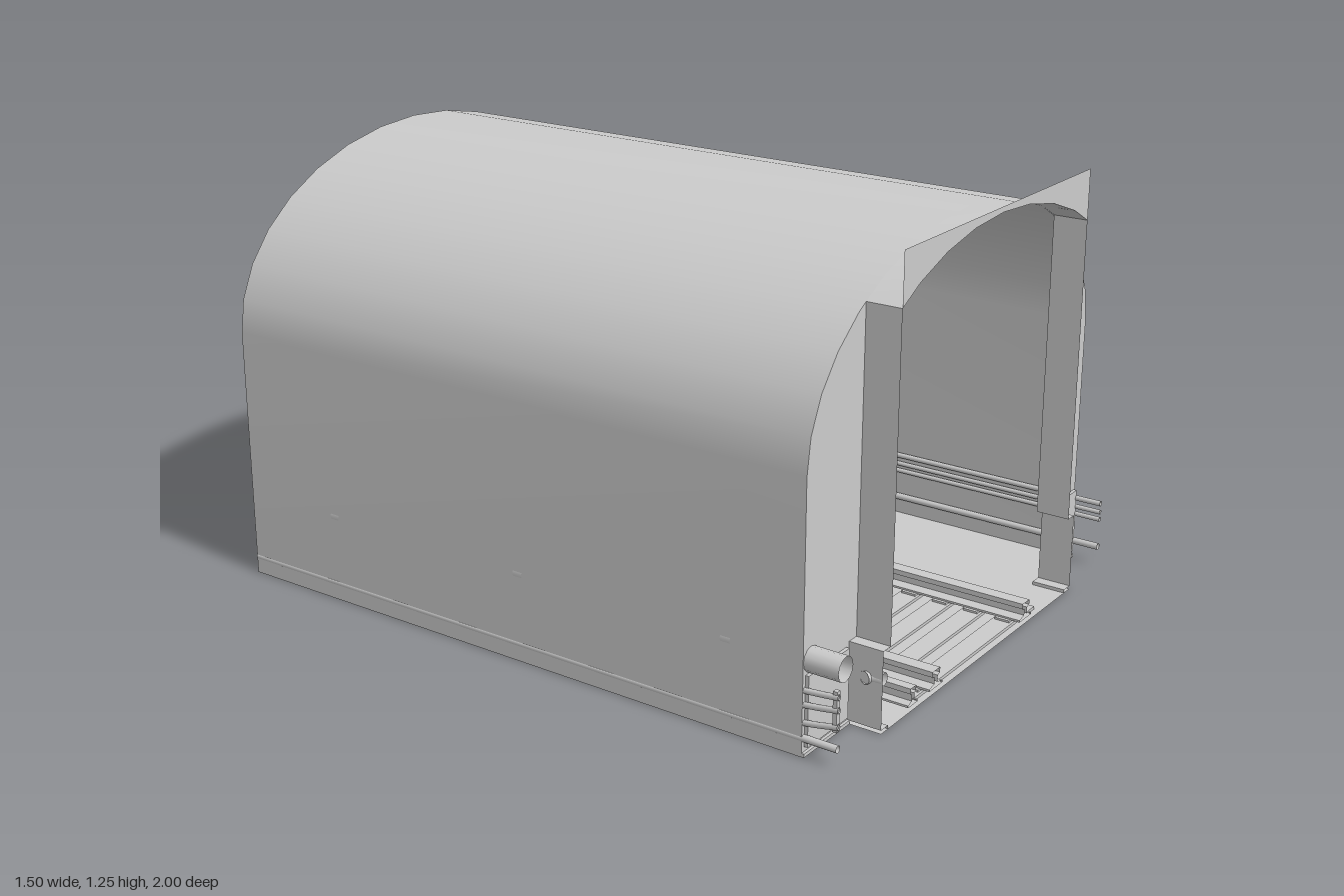
import * as THREE from 'three';

const mat = new THREE.MeshStandardMaterial({ color: 0xcccccc, side: THREE.DoubleSide });

// Surface running along z between z0 and z1 over an open 2D profile
function strip(profile, z0, z1, smooth = false) {
  const pos = [], idx = [];
  profile.forEach(([x, y], i) => {
    pos.push(x, y, z0, x, y, z1);
    if (i) idx.push(2 * i - 2, 2 * i, 2 * i - 1, 2 * i - 1, 2 * i, 2 * i + 1);
  });
  let g = new THREE.BufferGeometry();
  g.setAttribute('position', new THREE.Float32BufferAttribute(pos, 3));
  g.setIndex(idx);
  if (!smooth) g = g.toNonIndexed();
  g.computeVertexNormals();
  return g;
}

// Arch of 16 segments springing from y = 0.74
const arch = [];
for (let i = 0; i <= 16; i++) {
  const a = (i * Math.PI) / 16;
  arch.push([0.75 * Math.cos(a), 0.74 + 0.5 * Math.sin(a)]);
}
const crown = [[0.5, 1.111], ...arch.filter(([x]) => Math.abs(x) < 0.5), [-0.5, 1.111]];

function flat(points) {
  return new THREE.ShapeGeometry(new THREE.Shape(points.map(p => new THREE.Vector2(...p))));
}

export function createModel() {
  const root = new THREE.Group();
  const add = (name, geometry, x = 0, y = 0, z = 0) => {
    const m = new THREE.Mesh(geometry, mat);
    m.name = name;
    m.position.set(x, y, z);
    root.add(m);
    return m;
  };
  const box = (name, w, h, d, x, y, z) => add(name, new THREE.BoxGeometry(w, h, d), x, y, z);
  const tube = (name, points, r, segments, sides = 8) => add(name, new THREE.TubeGeometry(
    new THREE.CatmullRomCurve3(points.map(p => new THREE.Vector3(...p))), segments, r, sides));
  const pipe = (name, x, y, r, z0 = -1, z1 = 1) => {
    const g = new THREE.CylinderGeometry(r, r, z1 - z0, 12, 1, true).rotateX(Math.PI / 2);
    return add(name, g, x, y, (z0 + z1) / 2);
  };

  // Tunnel lining and floor
  add('tunnelShell', strip([[0.75, 0], ...arch, [-0.75, 0]], -1, 0.9, true));
  add('portalRoof', strip(crown, 0.9, 1, true));
  add('floor', strip([[-0.75, 0], [0.75, 0]], -1, 0.9));
  add('portalFloor', strip([[-0.535, 0], [0.535, 0]], 0.9, 1));

  // Fascia above the portal arch
  add('portalFascia', flat([...crown, [-0.5, 1.255], [0.5, 1.255]]), 0, 0, 1);

  // Portal end walls, side returns and access panels, mirrored
  for (const s of [-1, 1]) {
    const side = arch.filter(([x]) => x > 0.5);
    const outline = [[0.535, 0], [0.75, 0], ...side, [0.5, 1.111], [0.5, 0.23], [0.535, 0.23]];
    add('portalEndWall', flat(outline.map(([x, y]) => [s * x, y])), 0, 0, 0.9);
    add('portalReturn', strip(
      [[0.5, 1.111], [0.5, 0.23], [0.535, 0.23], [0.535, 0.01], [0.5, 0.01], [0.5, 0]]
        .map(([x, y]) => [s * x, y]), 0.9, 1));
    box('accessPanel', 0.19, 0.195, 0.01, s * 0.645, 0.1225, 0.906);
    box('wallSill', 0.215, 0.01, 0.008, s * 0.6425, 0.006, 0.904);
  }

  // Sleepers with a plate under each running rail
  for (let i = 0; i < 20; i++) {
    const z = -0.95 + i * 0.1;
    box('sleeper', 0.7, 0.009, 0.06, 0, 0.0055, z);
    for (const s of [-1, 1]) box('tiePlate', 0.09, 0.006, 0.045, s * 0.255, 0.013, z);
  }

  // Rails: foot, web and head in one open-ended section
  const half = [[0.035, 0.015], [0.035, 0.021], [0.008, 0.027], [0.008, 0.046],
    [0.02, 0.05], [0.02, 0.065]];
  const section = [...half, ...half.map(([x, y]) => [-x, y]).reverse(), half[0]];
  for (const s of [-1, 1]) add('runningRail', strip(section, -1, 1), s * 0.255);
  add('powerRail', strip(section.map(([x, y]) => [x * 0.7, y]), -1, 1), -0.375);

  // Power rail supports: foot plate, block and hooked post
  for (let i = 0; i < 6; i++) {
    const z = -5 / 6 + i / 3;
    box('supportPlate', 0.055, 0.006, 0.05, -0.423, 0.004, z);
    box('railBlock', 0.04, 0.014, 0.04, -0.375, 0.008, z);
    tube('hookedPost', [[-0.42, 0.005, z], [-0.418, 0.06, z], [-0.411, 0.085, z],
      [-0.398, 0.097, z], [-0.37, 0.1, z]], 0.004, 12, 6);
  }

  // Main pipe and its collars on the right wall
  pipe('mainPipe', -0.715, 0.255, 0.034);
  for (const z of [-0.67, 0, 0.67]) pipe('pipeCollar', -0.715, 0.255, 0.037, z - 0.015, z + 0.015);

  // Cables sagging between hangers, and a straight conduit below
  [0.19, 0.155, 0.11].forEach((y, k) => {
    const pts = [];
    for (let i = 0; i <= 24; i++) {
      const t = i / 24;
      pts.push([-0.742, y - (0.012 + 0.005 * k) * Math.abs(Math.sin(t * Math.PI * 6)), -1 + 2 * t]);
    }
    tube('saggingCable', pts, 0.008, 96, 6);
  });
  pipe('lowerConduit', -0.742, 0.05, 0.01);
  for (let i = 0; i < 7; i++) box('cableHanger', 0.014, 0.11, 0.012, -0.739, 0.15, -0.99 + i * 0.33);

  // Straight conduits on the left wall
  for (const [y, r] of [[0.195, 0.008], [0.168, 0.007], [0.145, 0.007], [0.058, 0.01]])
    pipe('wallConduit', 0.741, y, r, -1, 0.99);

  // Short pipe elbow beside the right portal return
  tube('pipeElbow', [[-0.54, 0.145, 0.95], [-0.525, 0.145, 0.955], [-0.519, 0.145, 0.97],
    [-0.518, 0.145, 0.995]], 0.018, 12, 10);

  return root;
}
